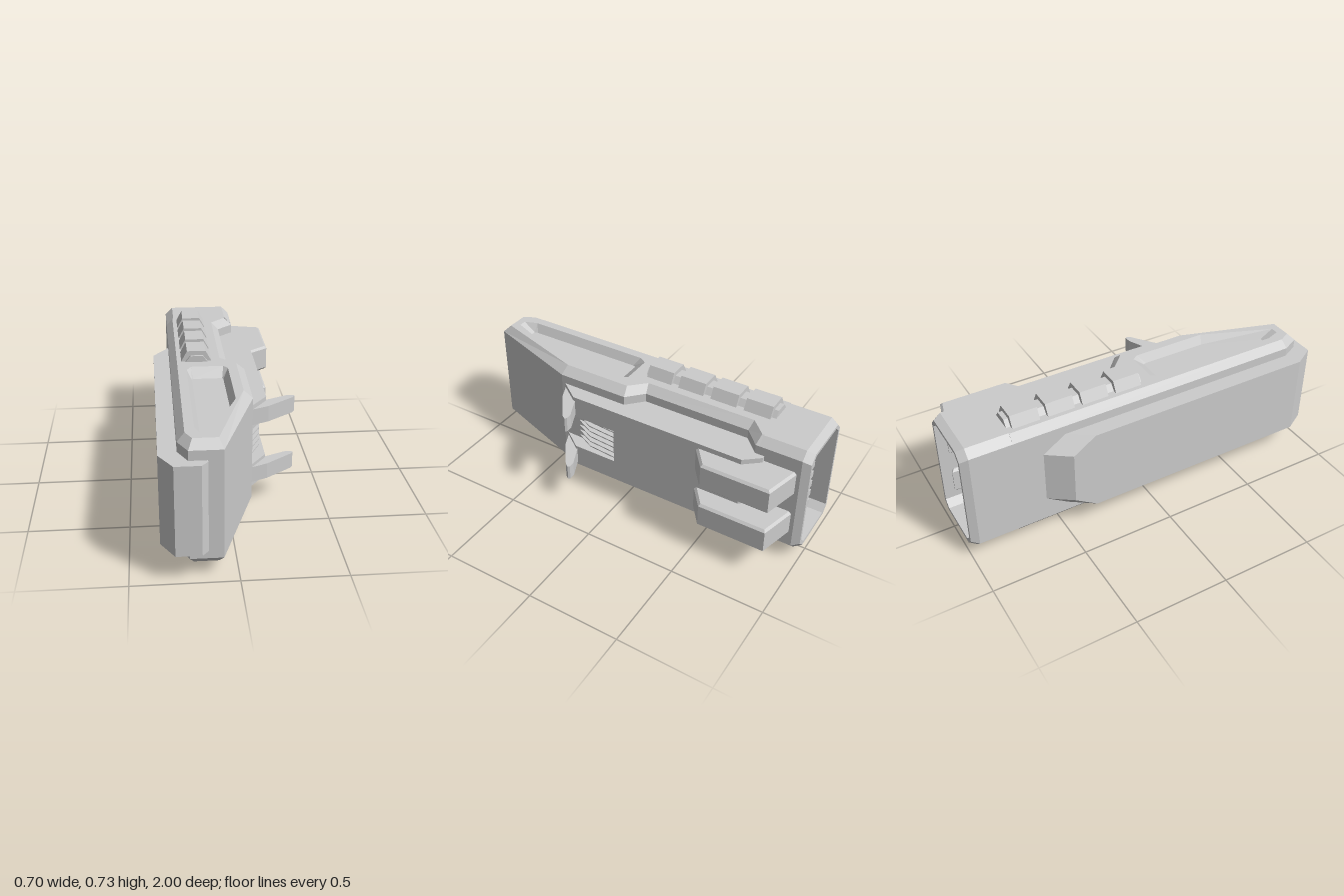
import * as THREE from 'three';

const mat = new THREE.MeshStandardMaterial({ color: 0xcccccc, flatShading: true, side: THREE.DoubleSide });

function add(parent, name, geometry) {
  const m = new THREE.Mesh(geometry, mat);
  m.name = name;
  parent.add(m);
  return m;
}

const vec = (pts) => pts.map(([x, y]) => new THREE.Vector2(x, y));

// Skin a list of closed rings of [x, y, z] points
function loft(rings) {
  const pos = [];
  for (let r = 0; r < rings.length - 1; r++) {
    const A = rings[r], B = rings[r + 1], n = A.length;
    for (let i = 0; i < n; i++) {
      const j = (i + 1) % n;
      pos.push(...A[i], ...A[j], ...B[j], ...A[i], ...B[j], ...B[i]);
    }
  }
  const g = new THREE.BufferGeometry();
  g.setAttribute('position', new THREE.Float32BufferAttribute(pos, 3));
  g.computeVertexNormals();
  return g;
}

const atY = (pts, y) => pts.map(([x, z]) => [x, y, z]);
const atZ = (pts, z) => pts.map(([x, y]) => [x, y, z]);
const centre = (ring) => {
  const c = [0, 1, 2].map((k) => ring.reduce((s, p) => s + p[k], 0) / ring.length);
  return ring.map(() => c);
};

// Extrude a plan outline of [x, z] points from y0 to y1, with an optional bevel
function plan(pts, y0, y1, bevel = 0) {
  const g = new THREE.ExtrudeGeometry(new THREE.Shape(vec(pts)), {
    depth: y1 - y0 - 2 * bevel, bevelEnabled: bevel > 0, bevelSegments: 1,
    bevelSize: bevel, bevelThickness: bevel, bevelOffset: -bevel,
  });
  return g.rotateX(Math.PI / 2).translate(0, y1 - bevel, 0);
}

// Extrude an [x, y] section from z0 to z1
function along(pts, z0, z1) {
  return new THREE.ExtrudeGeometry(new THREE.Shape(vec(pts)), { depth: z1 - z0, bevelEnabled: false })
    .translate(0, 0, z0);
}

// Upper half of the model, measured from its mid plane
function buildHalf() {
  const half = new THREE.Group();
  half.name = 'upperHalf';

  // Body shell with bevelled top edge and a side notch
  const wall = [[-0.27, -0.74], [-0.27, 0.86], [-0.225, 0.95], [-0.07, 0.95], [0.115, 0.41],
    [0.115, 0.02], [0.03, -0.06], [0.03, -0.64], [0.115, -0.72], [0.115, -0.74]];
  const top = [[-0.235, -0.74], [-0.235, 0.85], [-0.205, 0.91], [-0.09, 0.91], [0.07, 0.4],
    [0.07, 0.03], [-0.01, -0.05], [-0.01, -0.65], [0.07, -0.73], [0.07, -0.74]];
  add(half, 'bodyShell', loft([atY(wall, 0), atY(wall, 0.27), atY(top, 0.31)]));

  // Top face with its sunken panel
  const mouth = [[-0.19, 0.11], [-0.19, 0.8], [-0.165, 0.87], [-0.125, 0.87],
    [0.022, 0.5], [0.022, 0.1], [0, 0.068], [-0.165, 0.068]];
  const floor = [[-0.165, 0.14], [-0.165, 0.78], [-0.16, 0.8], [-0.122, 0.8],
    [-0.005, 0.49], [-0.005, 0.14], [-0.01, 0.125], [-0.16, 0.125]];
  const flip = (pts) => vec(pts.map(([x, z]) => [x, -z]));
  const face = new THREE.Shape(flip(top));
  face.holes.push(new THREE.Path(flip(mouth)));
  add(half, 'bodyTop', new THREE.ShapeGeometry(face).rotateX(-Math.PI / 2).translate(0, 0.31, 0));
  const floorRing = atY(floor, 0.265);
  add(half, 'sunkenPanel', loft([atY(mouth, 0.31), floorRing, centre(floorRing)]));

  // Rail with four raised blocks
  add(half, 'rail', along([[-0.19, 0.29], [-0.19, 0.31], [-0.165, 0.342], [-0.1, 0.342],
    [-0.075, 0.31], [-0.075, 0.29]], -0.735, 0));
  for (let i = 0; i < 4; i++) {
    const z = -0.712 + i * 0.185;
    add(half, 'railBlock', along([[-0.215, 0.305], [-0.182, 0.365], [-0.085, 0.365], [-0.052, 0.305]], z, z + 0.143));
  }

  // Long side slab with chamfered rear corners
  const slab = (s) => [[-0.2, -0.59 + s], [-0.27, -0.59 + s], [-0.355, -0.47 + s], [-0.355, 0.89],
    [-0.29, 1], [-0.17, 1], [-0.14, 0.965], [-0.14, -0.3]];
  const end = atY(slab(0.12), 0.2225);
  add(half, 'sideSlab', loft([atY(slab(0), 0), atY(slab(0), 0.1425), end, centre(end)]));

  // Side core, cut away in the middle for the vent
  const rear = [[-0.05, -0.77], [0.13, -0.77], [0.197, -0.69]];
  add(half, 'sideCore', plan([...rear, [0.197, 0.28], [0.115, 0.39], [-0.05, 0.39]], 0.1, 0.2225));
  add(half, 'ventCore', plan([...rear, [0.197, 0.035], [0.125, 0.035], [0.118, 0.38], [-0.05, 0.38]], 0, 0.1));
  for (const y of [0.017, 0.05, 0.083]) {
    add(half, 'ventSlat', plan([[0.1, 0.02], [0.19, 0.02], [0.175, 0.2], [0.125, 0.3], [0.1, 0.3]], y - 0.003, y + 0.003));
  }

  // Front flap
  add(half, 'flap', plan([[0.11, 0.39], [0.2, 0.35], [0.335, 0.25], [0.348, 0.23], [0.34, 0.22],
    [0.305, 0.222], [0.19, 0.275], [0.11, 0.3]], 0.117, 0.2));

  // Rear prong
  add(half, 'rearProng', plan([[0.06, -0.95], [0.115, -0.94], [0.305, -0.89], [0.305, -0.53],
    [0.195, -0.445], [0.06, -0.445]], 0.054, 0.195, 0.012));

  // Sprung contacts inside the rear socket
  for (let i = 0; i < 4; i++) {
    const y = 0.032 + i * 0.062;
    for (const [x, s] of [[-0.17, 1], [0.01, -1]]) {
      add(half, 'contactBlock', new THREE.BoxGeometry(0.035, 0.036, 0.15).translate(x, y, -0.85));
      add(half, 'contactSpring', plan([[x, -0.92], [x + s * 0.045, -0.87], [x + s * 0.08, -0.9],
        [x + s * 0.085, -0.885], [x + s * 0.045, -0.84], [x, -0.87]], y - 0.012, y + 0.012));
    }
  }
  return half;
}

export function createModel() {
  const model = new THREE.Group();
  model.name = 'model';
  const core = new THREE.Group();
  core.name = 'body';
  core.position.y = 0.37;
  model.add(core);

  const upper = buildHalf();
  const lower = upper.clone();
  lower.name = 'lowerHalf';
  lower.scale.y = -1;
  core.add(upper, lower);

  // Hollow rear socket with a chamfered rim
  const oct = (d, c) => {
    const l = -0.27 + d, r = 0.115 - d, t = 0.31 - d;
    return [[l + c, -t], [r - c, -t], [r, -t + c], [r, t - c], [r - c, t], [l + c, t], [l, t - c], [l, -t + c]];
  };
  const back = atZ(oct(0.042, 0.035), -0.78);
  add(core, 'rearSocket', loft([centre(back), back, atZ(oct(0.035, 0.035), -1), atZ(oct(0.018, 0.04), -1),
    atZ(oct(0, 0.04), -0.96), atZ(oct(0, 0.04), -0.74)]));
  return model;
}
